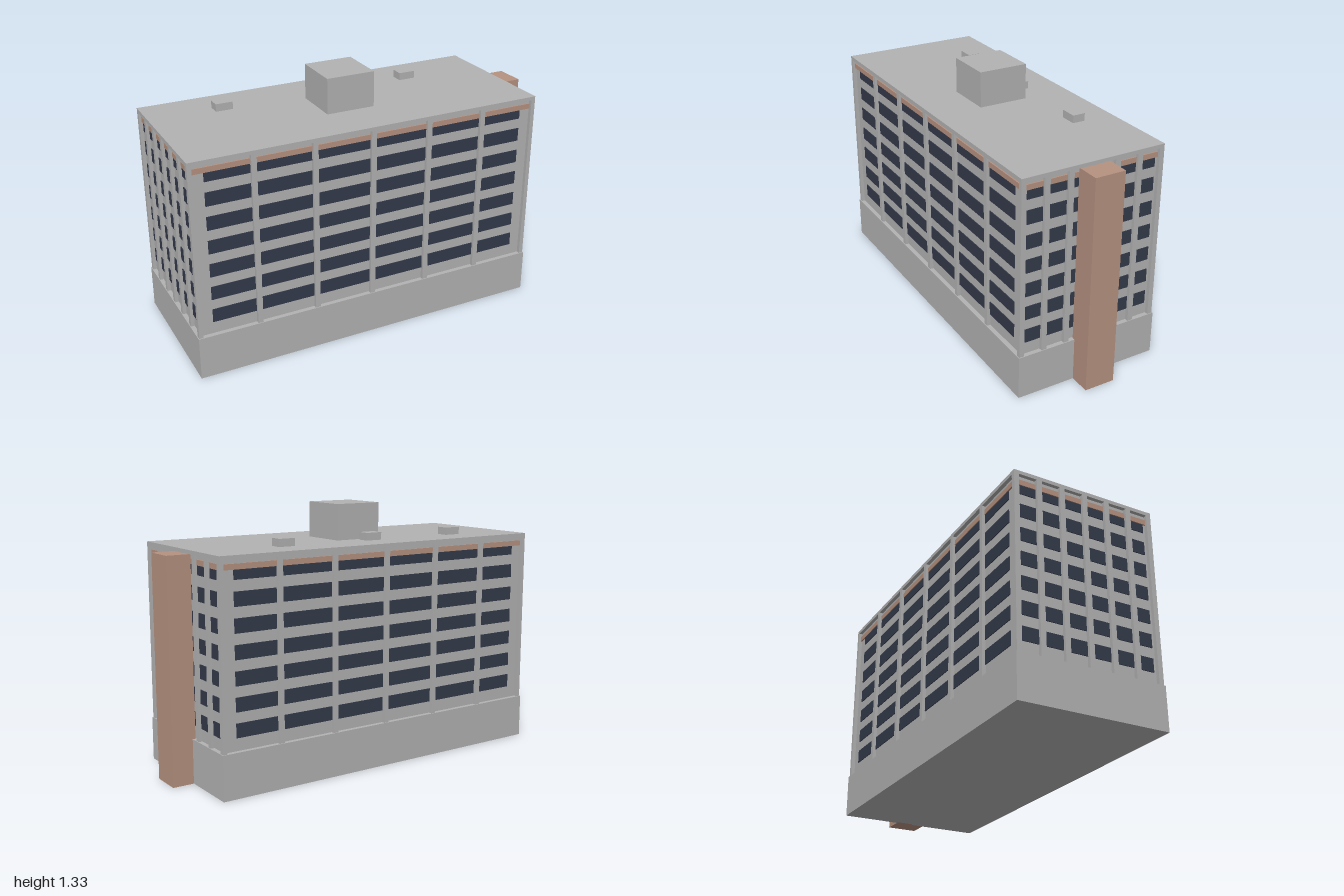
import * as THREE from 'three';

export function createModel() {
  const model = new THREE.Group();
  model.name = 'officeBlock';

  const mat = (name, color) => {
    const m = new THREE.MeshStandardMaterial({ color });
    m.name = name;
    return m;
  };
  const concrete = mat('concrete grey', 0xb2b2b2);
  const copper = mat('copper cladding', 0xb69280);
  const glass = mat('dark glass', 0x343a4b);

  // Box given by its lower and upper corners
  const box = (parent, name, material, [x0, y0, z0], [x1, y1, z1]) => {
    const mesh = new THREE.Mesh(new THREE.BoxGeometry(x1 - x0, y1 - y0, z1 - z0), material);
    mesh.position.set((x0 + x1) / 2, (y0 + y1) / 2, (z0 + z1) / 2);
    mesh.name = name;
    parent.add(mesh);
  };

  const cx = -0.055;             // middle of the main block
  const hx = 0.941, hz = 0.383;  // half size at the face of the frame
  const recess = 0.019;
  const baseTop = 0.225, frameTop = 1.124, roofTop = 1.143;

  // Main masses
  box(model, 'podium', concrete, [-1, 0, -0.388], [0.89, baseTop, 0.388]);
  box(model, 'recessedWalls', concrete,
    [cx - hx + recess, baseTop, -hz + recess], [cx + hx - recess, frameTop, hz - recess]);
  box(model, 'roofSlab', concrete, [cx - hx, frameTop, -hz], [cx + hx, roofTop, hz]);

  // Corner posts of the frame
  for (const sx of [-1, 1]) for (const sz of [-1, 1]) {
    const x = cx + sx * (hx - 0.011), z = sz * (hz - 0.0125);
    box(model, 'cornerPost', concrete,
      [x - 0.011, baseTop, z - 0.0125], [x + 0.011, frameTop, z + 0.0125]);
  }

  // One facade facing +z: six bays, seven strips of glass and a copper band
  const facade = (name, halfBays, halfGlass, spacing) => {
    const g = new THREE.Group();
    g.name = name;
    for (let i = -2; i <= 2; i++) {
      box(g, 'pillar', concrete,
        [i * spacing - 0.0135, baseTop, -recess], [i * spacing + 0.0135, frameTop, 0]);
    }
    for (let row = 0; row < 7; row++) {
      const y = 0.288 + row * 0.1235;
      box(g, 'windowStrip', glass,
        [-halfGlass, y, -recess - 0.003], [halfGlass, Math.min(y + 0.07, 1.075), -recess + 0.004]);
    }
    box(g, 'copperBand', copper,
      [-halfBays, 1.076, -recess - 0.003], [halfBays, 1.103, -recess + 0.007]);
    model.add(g);
    return g;
  };
  for (const s of [1, -1]) {
    const long = facade(s > 0 ? 'frontFacade' : 'backFacade', 0.922, 0.86, 0.311);
    long.position.set(cx, 0, s * hz);
    if (s < 0) long.rotation.y = Math.PI;
    const end = facade(s > 0 ? 'leftFacade' : 'rightFacade', 0.36, 0.345, 0.1245);
    end.position.set(cx + s * hx, 0, 0);
    end.rotation.y = s * Math.PI / 2;
  }

  // Clad stair tower on the end wall
  box(model, 'stairTower', copper, [0.875, 0, -0.08], [1, 1.123, 0.08]);

  // Rooftop plant room and vents
  box(model, 'plantRoom', concrete, [-0.183, roofTop, -0.13], [0.075, 1.327, 0.13]);
  for (const x of [-0.615, -0.09, 0.43]) {
    box(model, 'roofVent', concrete, [x - 0.045, roofTop, -0.22], [x + 0.045, 1.182, -0.154]);
  }

  return model;
}
